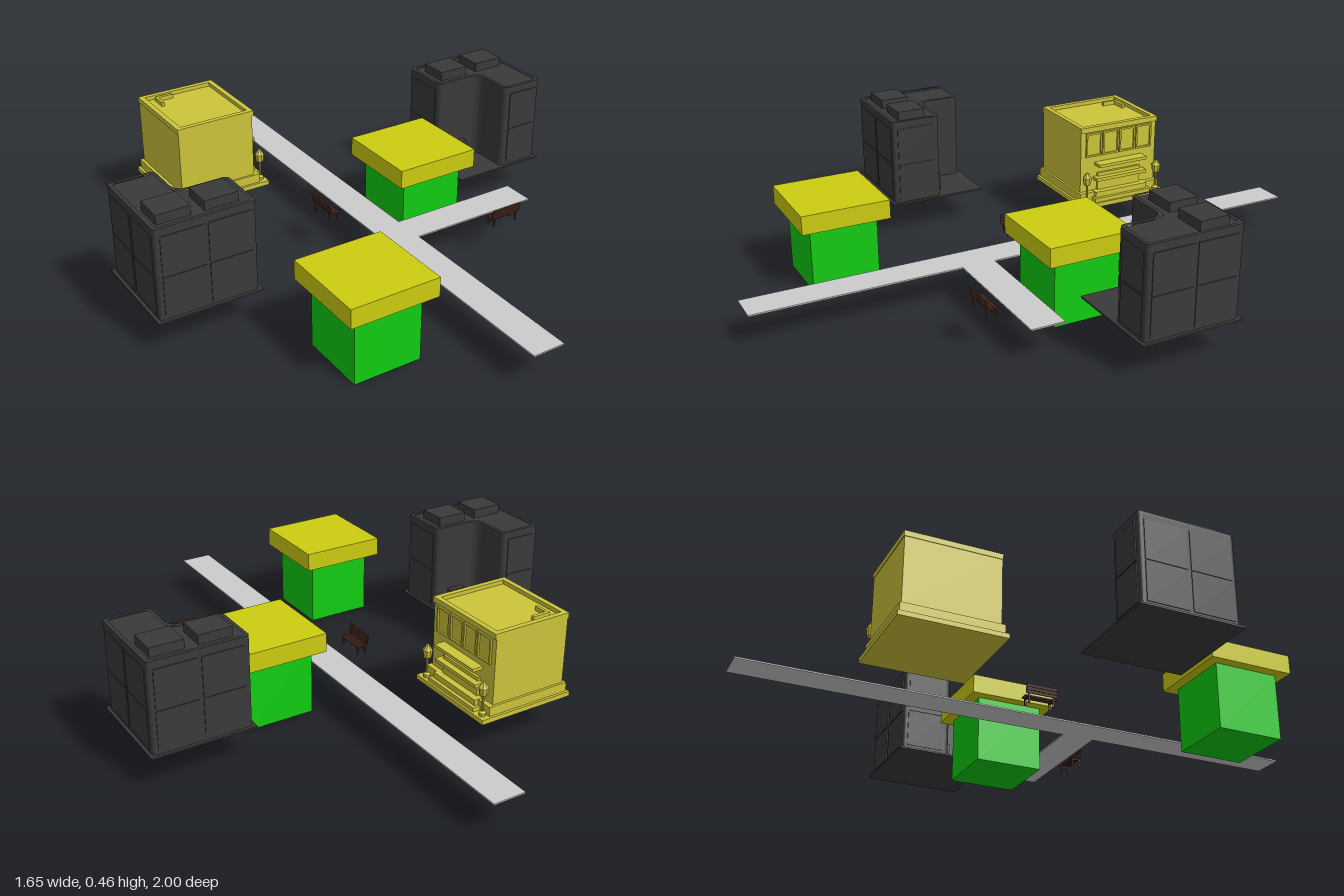
import * as THREE from 'three';

const mat = (color) => new THREE.MeshStandardMaterial({ color, flatShading: true });
const grey = mat(0xcccccc), green = mat(0x12cc12), yellow = mat(0xcccc11);
const mustard = mat(0xccc43a), dark = mat(0x3a3a3a), brown = mat(0x4a2a20);
const GROUND = 0.12;

function add(parent, name, geometry, material, x = 0, y = 0, z = 0) {
  const mesh = new THREE.Mesh(geometry, material);
  mesh.name = name;
  mesh.position.set(x, y, z);
  parent.add(mesh);
  return mesh;
}

// Box given by its low and high corners
function block(parent, name, material, [x0, y0, z0], [x1, y1, z1]) {
  return add(parent, name, new THREE.BoxGeometry(x1 - x0, y1 - y0, z1 - z0), material,
    (x0 + x1) / 2, (y0 + y1) / 2, (z0 + z1) / 2);
}

function group(name, x, y, z, turn = 0) {
  const g = new THREE.Group();
  g.name = name;
  g.position.set(x, y, z);
  g.rotation.y = turn;
  return g;
}

// Polygon of [x, z, radius] corners, each rounded
function roundedShape(corners, Type = THREE.Shape) {
  const shape = new Type();
  const pts = corners.map(([x, z]) => new THREE.Vector2(x, -z));
  const n = pts.length;
  pts.forEach((p, i) => {
    const r = corners[i][2];
    const a = pts[(i + n - 1) % n].clone().sub(p).setLength(r).add(p);
    const b = pts[(i + 1) % n].clone().sub(p).setLength(r).add(p);
    if (i === 0) shape.moveTo(a.x, a.y); else shape.lineTo(a.x, a.y);
    shape.quadraticCurveTo(p.x, p.y, b.x, b.y);
  });
  shape.closePath();
  return shape;
}

function extrudeUp(shape, height) {
  return new THREE.ExtrudeGeometry(shape, { depth: height, bevelEnabled: false, curveSegments: 6 })
    .rotateX(-Math.PI / 2);
}

// Path with one side branch
function makePath() {
  const s = new THREE.Shape([[0, -1], [0.112, -1], [0.112, 0.175], [0.585, 0.175], [0.585, 0.29],
    [0.112, 0.29], [0.112, 1], [0, 1]].map(([x, z]) => new THREE.Vector2(x, -z)));
  const g = group('path', 0, GROUND - 0.002, 0);
  add(g, 'pathSlab', extrudeUp(s, 0.005), grey);
  return g;
}

// Plain block house with an overhanging flat roof
function makeHut(x, z) {
  const g = group('hut', x, 0, z);
  block(g, 'hutWalls', green, [-0.117, 0, -0.117], [0.117, 0.23, 0.117]);
  block(g, 'hutRoof', yellow, [-0.153, 0.229, -0.153], [0.153, 0.295, 0.153]);
  return g;
}

// L-shaped tower block, notch at its front right corner
function lOutline(inset, Type) {
  const a = 0.166 - inset, nx = 0.01 + inset, nz = 0.014 - inset, r = 0.014;
  return roundedShape([[-a, -a, r], [a, -a, r], [a, a, r], [nx, a, 0.02],
    [nx, nz, 0.045], [-a, nz, 0.02]], Type);
}

function makeTower(x, z, turn) {
  const g = group('towerBlock', x, GROUND, z, turn);
  block(g, 'towerPlot', dark, [-0.176, 0, -0.176], [0.176, 0.006, 0.176]);
  add(g, 'towerBody', extrudeUp(lOutline(0), 0.3), dark, 0, 0.006, 0);
  const rim = lOutline(0);
  rim.holes.push(lOutline(0.012, THREE.Path));
  add(g, 'towerParapet', extrudeUp(rim, 0.01), dark, 0, 0.305, 0);
  // roof units
  for (const x0 of [-0.128, 0.028])
    block(g, 'roofUnit', dark, [x0, 0.3, -0.128], [x0 + 0.112, 0.338, -0.027]);
  block(g, 'porch', dark, [-0.112, 0.006, 0], [-0.048, 0.072, 0.036]);
  // wall panels in two storeys
  for (const [y0, y1] of [[0.018, 0.15], [0.154, 0.288]]) {
    for (const s of [-0.148, 0.006]) {
      block(g, 'backPanel', dark, [s, y0, -0.1685], [s + 0.142, y1, -0.165]);
      block(g, 'sidePanel', dark, [0.165, y0, s], [0.1685, y1, s + 0.142]);
    }
    block(g, 'sidePanel', dark, [-0.1685, y0, -0.148], [-0.165, y1, -0.01]);
    block(g, 'frontPanel', dark, [0.034, y0, 0.165], [0.148, y1, 0.1685]);
  }
  return g;
}

// Small shop; its front faces +x
function makeShop(x, z) {
  const g = group('shop', x, GROUND, z);
  block(g, 'shopPlot', mustard, [-0.175, 0, -0.175], [0.175, 0.016, 0.175]);
  block(g, 'shopPlinth', mustard, [-0.166, 0.015, -0.166], [0.142, 0.048, 0.166]);
  block(g, 'shopWalls', mustard, [-0.155, 0.045, -0.158], [0.125, 0.28, 0.158]);
  // parapet around the flat roof
  for (const s of [-1, 1])
    block(g, 'parapetSide', mustard, [-0.157, 0.275, s * 0.151 - 0.009], [0.131, 0.294, s * 0.151 + 0.009]);
  for (const px of [-0.148, 0.122])
    block(g, 'parapetEnd', mustard, [px - 0.009, 0.275, -0.145], [px + 0.009, 0.294, 0.145]);
  // roof pipe
  block(g, 'pipeLong', mustard, [-0.107, 0.28, -0.128], [-0.097, 0.295, -0.068]);
  block(g, 'pipeShort', mustard, [-0.107, 0.28, -0.128], [-0.042, 0.295, -0.116]);
  // window row with frames
  for (let i = 0; i < 4; i++) {
    const c = (i - 1.5) * 0.07;
    for (const s of [-1, 1])
      block(g, 'windowJamb', mustard, [0.124, 0.18, c + s * 0.03 - 0.003], [0.131, 0.27, c + s * 0.03 + 0.003]);
    for (const y of [0.18, 0.264])
      block(g, 'windowRail', mustard, [0.124, y, c - 0.027], [0.131, y + 0.006, c + 0.027]);
  }
  // sign ledge, shop front and steps
  block(g, 'ledge', mustard, [0.12, 0.146, -0.1], [0.164, 0.157, 0.1]);
  block(g, 'shopFront', mustard, [0.12, 0.045, -0.09], [0.134, 0.115, 0.09]);
  block(g, 'counter', mustard, [0.12, 0.09, -0.105], [0.155, 0.102, 0.105]);
  block(g, 'upperStep', mustard, [0.12, 0.015, -0.108], [0.156, 0.05, 0.108]);
  block(g, 'lowerStep', mustard, [0.12, 0.015, -0.118], [0.168, 0.03, 0.118]);
  // lamp posts
  const lamp = [[0, 0], [0.012, 0], [0.012, 0.012], [0.004, 0.018], [0.004, 0.068], [0.013, 0.074],
    [0.017, 0.1], [0.013, 0.106], [0.006, 0.118], [0, 0.12]].map(([r, y]) => new THREE.Vector2(r, y));
  for (const s of [-1, 1])
    add(g, 'lampPost', new THREE.LatheGeometry(lamp, 8), mustard, 0.155, 0.014, s * 0.147);
  return g;
}

// Slatted bench facing +x
function makeBench(x, z, turn) {
  const g = group('bench', x, GROUND, z, turn);
  for (let i = 0; i < 3; i++)
    block(g, 'seatSlat', brown, [-0.012 + i * 0.011, 0.026, -0.057], [-0.003 + i * 0.011, 0.03, 0.057]);
  for (let i = 0; i < 3; i++) {
    const slat = block(g, 'backSlat', brown, [-0.018 - i * 0.002, 0.034 + i * 0.011, -0.057],
      [-0.014 - i * 0.002, 0.0435 + i * 0.011, 0.057]);
    slat.rotation.z = 0.15;
  }
  for (const s of [-0.045, 0.045]) {
    block(g, 'frontLeg', brown, [0.013, 0, s - 0.003], [0.018, 0.027, s + 0.003]);
    block(g, 'rearLeg', brown, [-0.015, 0, s - 0.003], [-0.01, 0.027, s + 0.003]);
    block(g, 'seatRail', brown, [-0.017, 0.022, s - 0.003], [0.02, 0.027, s + 0.003]);
    const post = block(g, 'backPost', brown, [-0.018, 0.024, s - 0.003], [-0.014, 0.062, s + 0.003]);
    post.rotation.z = 0.15;
  }
  return g;
}

export function createModel() {
  const model = new THREE.Group();
  model.name = 'townPark';
  model.add(
    makePath(),
    makeHut(-0.295, 0.587),
    makeHut(0.291, -0.003),
    makeTower(0.646, -0.12, 0),
    makeTower(-0.65, 0.115, Math.PI),
    makeShop(-0.297, -0.472),
    makeBench(-0.066, -0.003, 0),
    makeBench(0.409, 0.358, Math.PI / 2),
  );
  return model;
}
